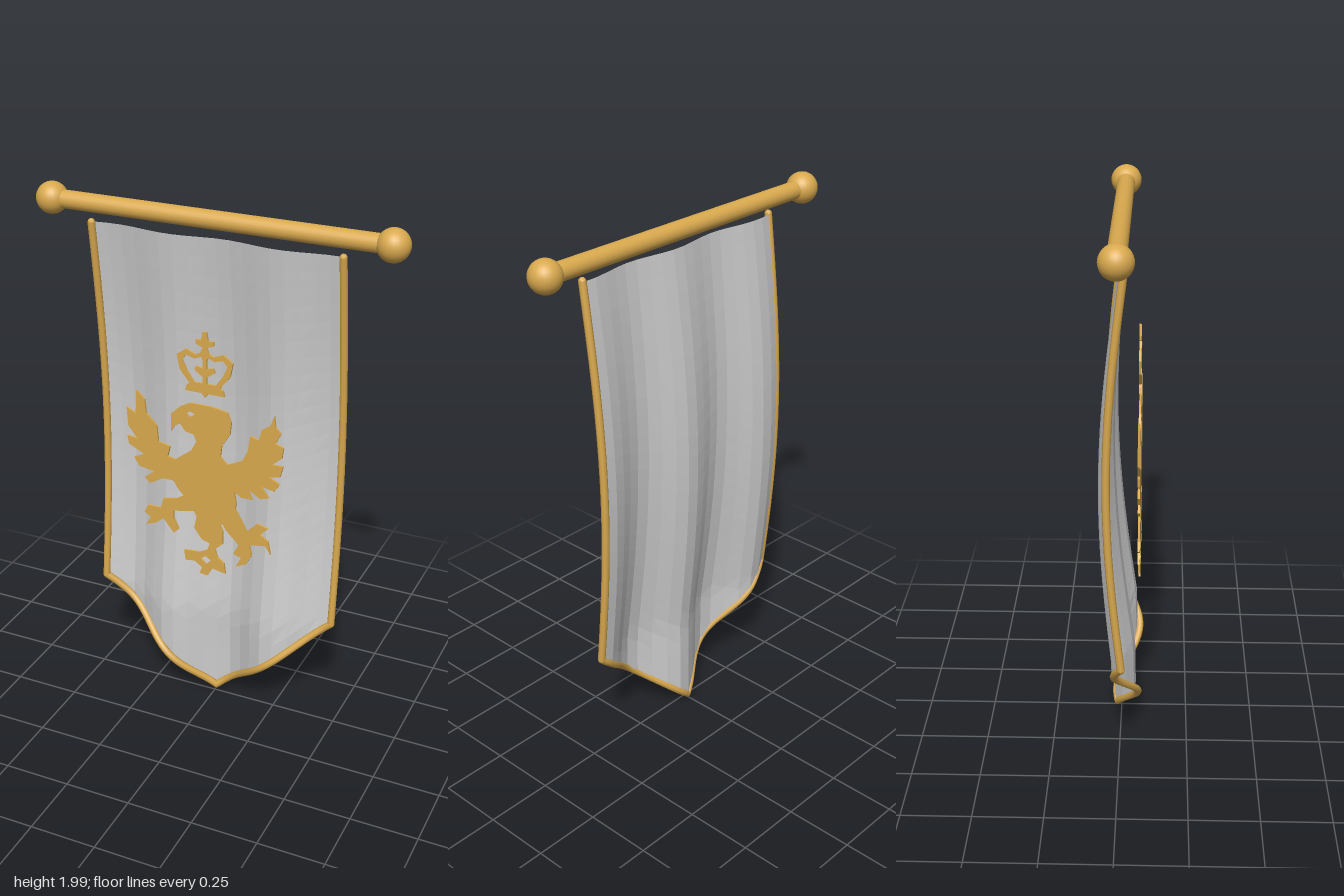
import * as THREE from 'three';

const gold = new THREE.MeshStandardMaterial({ color: 0xd9a94e });
const goldFlat = new THREE.MeshStandardMaterial({ color: 0xd9a94e, flatShading: true });
const cloth = new THREE.MeshStandardMaterial({ color: 0xcccccc, flatShading: true, side: THREE.DoubleSide });

const TOP = 1.88, SIDE = 0.43, TIP = 0.02, HALF = 0.467;

// Lower edge of the pennant: two slopes meeting in a point
const hem = x => TIP + (SIDE - TIP) * Math.abs(x) / HALF;

// Depth of the hanging cloth: a backward bow plus folds that deepen downwards
function drape(x, y) {
  const t = (TOP - y) / 1.5;
  const bow = 0.014 - 0.059 * Math.max(0, Math.sin(Math.PI * Math.min(t, 1)));
  const fold = 0.012 + 0.032 * Math.min(1, (TOP - y) / 1.65);
  return bow + fold * Math.cos(2 * Math.PI * (x - 0.24) / 0.41);
}

function add(parent, name, geometry, material, x = 0, y = 0, z = 0) {
  const mesh = new THREE.Mesh(geometry, material);
  mesh.name = name;
  mesh.position.set(x, y, z);
  parent.add(mesh);
  return mesh;
}

// Rounded cord that follows the cloth between two points of its edge
function addTrim(parent, name, x0, y0, x1, y1) {
  const points = [];
  for (let i = 0; i <= 16; i++) {
    const x = THREE.MathUtils.lerp(x0, x1, i / 16);
    const y = THREE.MathUtils.lerp(y0, y1, i / 16);
    points.push(new THREE.Vector3(x, y, drape(x, y) + 0.008));
  }
  const trim = new THREE.Group();
  trim.name = name;
  add(trim, 'cord', new THREE.TubeGeometry(new THREE.CatmullRomCurve3(points), 32, 0.014, 8), gold);
  for (const p of [points[0], points[16]])
    add(trim, 'cordEnd', new THREE.SphereGeometry(0.014, 8, 6), gold, p.x, p.y, p.z);
  parent.add(trim);
}

// Flat cut-out from x, y pairs on the emblem's own small grid
const UNIT = 0.00529;
function outline(flat) {
  const points = [];
  for (let i = 0; i < flat.length; i += 2)
    points.push(new THREE.Vector2(flat[i] * UNIT, flat[i + 1] * UNIT));
  return points;
}
function addCutout(parent, name, flat, holes = []) {
  const shape = new THREE.Shape(outline(flat));
  for (const h of holes) shape.holes.push(new THREE.Path(outline(h)));
  add(parent, name, new THREE.ExtrudeGeometry(shape, { depth: 0.008, bevelEnabled: false }), goldFlat);
}
const mirrored = (flat, axis) => flat.map((v, i) => i % 2 ? v : 2 * axis - v);

export function createModel() {
  const model = new THREE.Group();
  model.name = 'hangingBanner';

  // Pole with ball ends
  add(model, 'pole', new THREE.CylinderGeometry(0.033, 0.033, 1.26, 24), gold, 0, 1.943, 0).rotation.z = Math.PI / 2;
  for (const s of [-1, 1])
    add(model, 'poleBall', new THREE.SphereGeometry(0.058, 24, 16), gold, s * 0.632, 1.943, 0);

  // Cloth: a plane draped in vertical folds and cut to a point
  const sheet = new THREE.PlaneGeometry(2 * HALF, 1, 18, 24);
  const pos = sheet.attributes.position;
  for (let i = 0; i < pos.count; i++) {
    const x = pos.getX(i);
    const y = THREE.MathUtils.lerp(hem(x), TOP, pos.getY(i) + 0.5);
    pos.setXYZ(i, x, y, drape(x, y));
  }
  sheet.computeVertexNormals();
  add(model, 'cloth', sheet, cloth);

  // Gold trim on the sides and the pointed hem
  for (const s of [-1, 1]) {
    addTrim(model, s > 0 ? 'leftTrim' : 'rightTrim', s * HALF, TOP, s * HALF, SIDE);
    addTrim(model, s > 0 ? 'leftHemTrim' : 'rightHemTrim', s * HALF, SIDE, 0, TIP);
  }

  // Heraldic bird
  const emblem = new THREE.Group();
  emblem.name = 'emblem';
  emblem.position.z = 0.063;
  model.add(emblem);
  addCutout(emblem, 'birdBody', [
    -27, 218, -27, 231, -20, 238, -12, 242, 4, 242, 15, 240, 18, 233, 17, 224, 11, 214, 10, 206,
    18, 198, 20, 184, 22, 172, 20, 160, 12, 154, 4, 148, -6, 152, -14, 166, -22, 174, -28, 184,
    -27, 194, -20, 200, -12, 206, -8, 214, -10, 219, -16, 220, -20, 225, -24, 223,
  ], [[-15, 234, -12, 236, -9, 234, -12, 232]]);
  addCutout(emblem, 'rightWing', [
    -26, 180, -34, 180, -44, 174, -48, 178, -40, 184, -52, 186, -56, 192, -48, 196, -60, 202,
    -61, 208, -53, 207, -60, 216, -61, 230, -54, 226, -53, 244, -47, 238, -46, 228, -38, 220,
    -37, 208, -28, 206, -30, 198, -20, 196,
  ]);
  addCutout(emblem, 'leftWing', [
    14, 200, 26, 206, 30, 214, 32, 226, 38, 224, 40, 232, 46, 236, 49, 244, 50, 236, 54, 232,
    50, 224, 56, 222, 55, 214, 48, 208, 56, 208, 54, 200, 46, 198, 54, 194, 50, 188, 40, 190,
    46, 182, 40, 180, 30, 186, 34, 178, 26, 178, 16, 184,
  ]);
  addCutout(emblem, 'rightLeg', [
    -14, 172, -24, 166, -34, 164, -36, 156, -46, 156, -49, 150, -44, 147, -48, 140, -40, 143,
    -34, 148, -30, 143, -26, 138, -22, 142, -26, 150, -26, 156, -16, 158, -6, 160,
  ]);
  addCutout(emblem, 'middleLeg', [
    -8, 156, -10, 146, -4, 138, 2, 136, 0, 130, -6, 127, -18, 126, -17, 118, -10, 119, -4, 115,
    -6, 110, 0, 109, 4, 116, 14, 114, 13, 122, 8, 126, 6, 132, 12, 138, 12, 148, 8, 156,
  ], [[-5, 122, -1, 125, 3, 122, -1, 118]]);
  addCutout(emblem, 'leftLeg', [
    8, 162, 14, 150, 24, 140, 20, 132, 26, 130, 22, 122, 30, 126, 34, 134, 32, 142, 44, 144,
    48, 138, 46, 148, 40, 152, 46, 158, 38, 160, 30, 152, 26, 160, 20, 170,
  ]);

  // Crown above the bird
  const axis = -1.5;
  const arch = [-12, 256, -20, 266, -22, 276, -15, 281, -8, 278, -3, 281, -2, 278, -9, 275,
    -15, 277, -18, 273, -15, 266, -8, 256];
  const stem = [-3, 256, -3, 263, -9, 267, -8, 270, -3, 269, -3, 275, -5, 279, -3, 284,
    -8, 286, -8, 289, -4, 289, -3, 295];
  const stemPoints = [...stem];
  for (let i = stem.length - 2; i >= 0; i -= 2) stemPoints.push(2 * axis - stem[i], stem[i + 1]);
  addCutout(emblem, 'crownBase', [-16, 251, -15, 255, -11, 258, 8, 258, 12, 255, 13, 251, 1, 251, -1.5, 248, -4, 251]);
  addCutout(emblem, 'crownRightArch', arch);
  addCutout(emblem, 'crownLeftArch', mirrored(arch, axis));
  addCutout(emblem, 'crownCross', stemPoints);

  return model;
}
